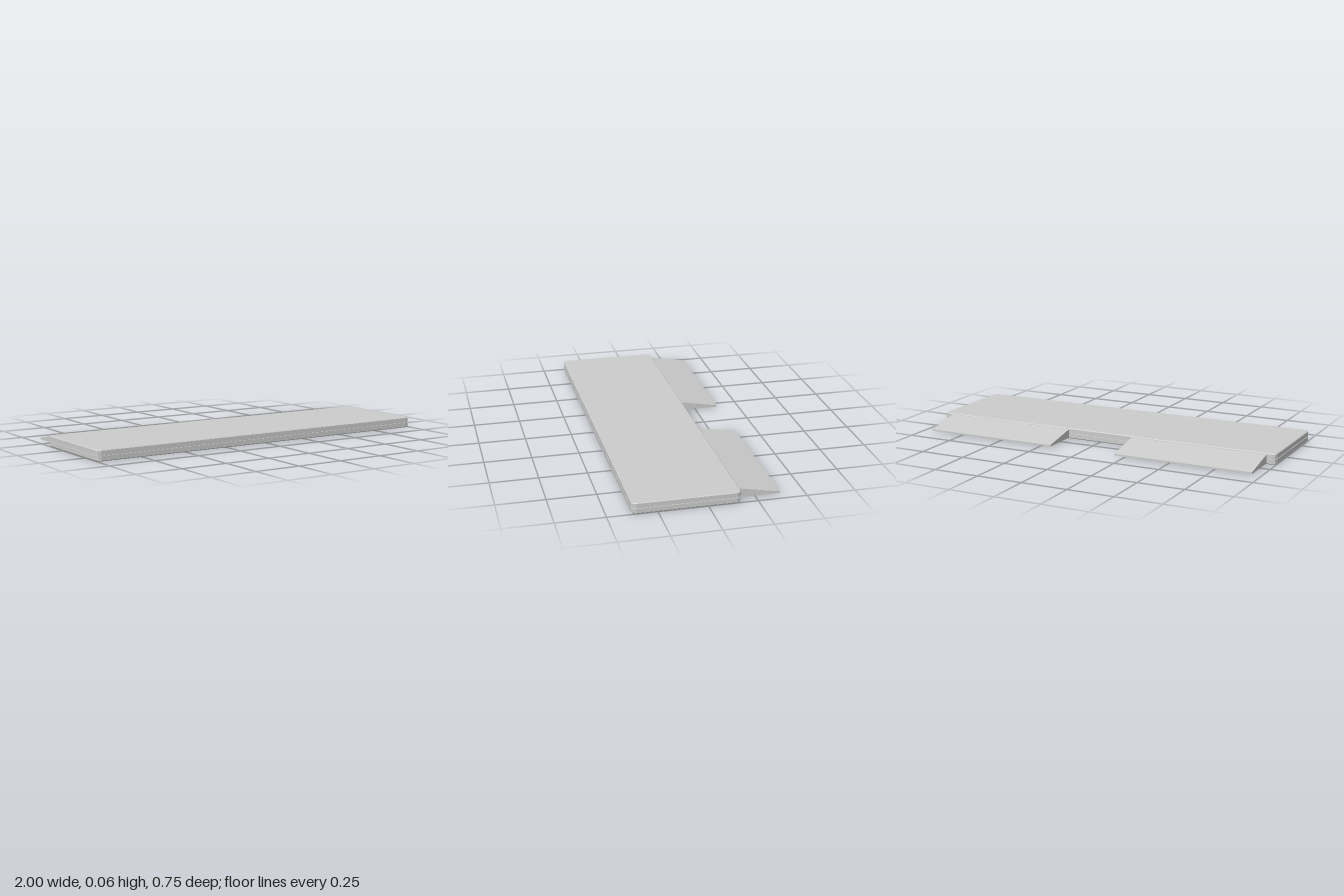
import * as THREE from 'three';

const material = new THREE.MeshStandardMaterial({ color: 0xcccccc, flatShading: true });

// Rounded rectangle outline, pulled in by `inset`
function outline(halfX, halfZ, radius, inset, segments = 2) {
  const points = [];
  const r = radius - inset;
  const corners = [[1, 1], [-1, 1], [-1, -1], [1, -1]];
  corners.forEach(([sx, sz], q) => {
    for (let i = 0; i <= segments; i++) {
      const a = (q + i / segments) * Math.PI / 2;
      points.push([
        sx * (halfX - radius) + r * Math.cos(a),
        sz * (halfZ - radius) + r * Math.sin(a),
      ]);
    }
  });
  return points;
}

// Closed solid through stacked outlines, given as [height, inset]
function stackedSlab(halfX, halfZ, radius, layers) {
  const positions = [];
  const index = [];
  let n = 0;
  for (const [y, inset] of layers) {
    const ring = outline(halfX, halfZ, radius, inset);
    n = ring.length;
    ring.forEach(([x, z]) => positions.push(x, y, z));
  }
  const last = layers.length - 1;
  const bottom = positions.length / 3;
  positions.push(0, layers[0][0], 0, 0, layers[last][0], 0);
  for (let j = 0; j < n; j++) {
    const k = (j + 1) % n;
    for (let l = 0; l < last; l++) {
      const b = l * n, t = b + n;
      index.push(b + j, t + j, b + k, b + k, t + j, t + k);
    }
    index.push(bottom, j, k, bottom + 1, last * n + k, last * n + j);
  }
  const geometry = new THREE.BufferGeometry();
  geometry.setAttribute('position', new THREE.Float32BufferAttribute(positions, 3));
  geometry.setIndex(index);
  const flat = geometry.toNonIndexed();
  flat.computeVertexNormals();
  return flat;
}

export function createModel() {
  const group = new THREE.Group();

  // Flat body with softened edges and a seam groove around its middle
  const body = new THREE.Mesh(stackedSlab(1, 0.2725, 0.022, [
    [0, 0.004], [0.004, 0], [0.027, 0], [0.0275, 0.003],
    [0.0305, 0.003], [0.031, 0], [0.053, 0], [0.057, 0.004],
  ]), material);
  body.name = 'body';
  body.position.z = 0.1055;
  group.add(body);

  // Two wedge ramps along the back edge, with a blunt tip
  const profile = new THREE.Shape([
    [0.162, 0.004], [0.377, 0.004], [0.377, 0.012], [0.167, 0.051], [0.162, 0.051],
  ].map(([x, y]) => new THREE.Vector2(x, y)));
  const rampGeometry = new THREE.ExtrudeGeometry(profile, { depth: 0.76, bevelEnabled: false });
  rampGeometry.rotateY(Math.PI / 2);
  for (const [name, x] of [['leftRamp', 0.19], ['rightRamp', -0.95]]) {
    const ramp = new THREE.Mesh(rampGeometry, material);
    ramp.name = name;
    ramp.position.x = x;
    group.add(ramp);
  }

  return group;
}
